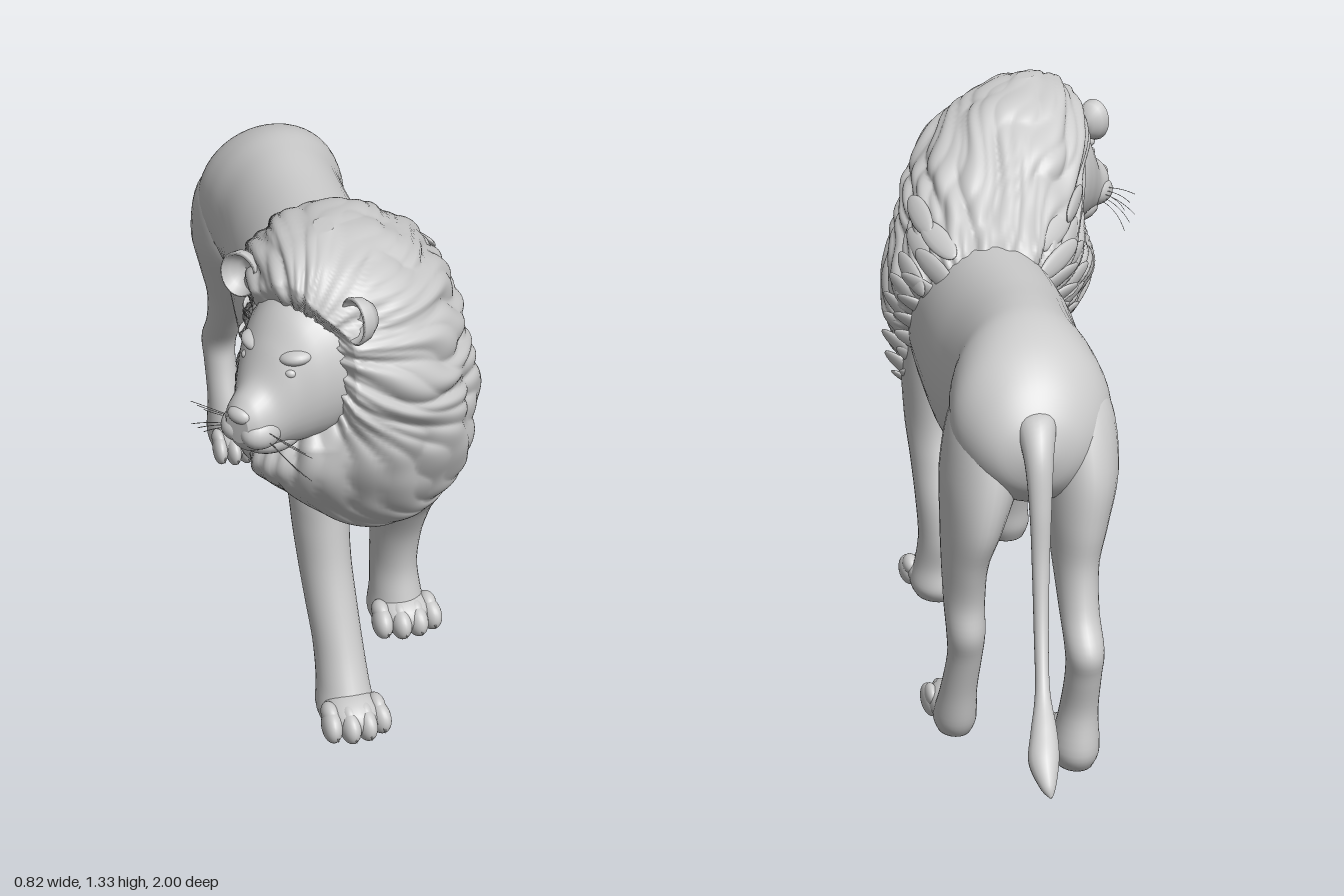
import * as THREE from 'three';

const material = new THREE.MeshStandardMaterial({ color: 0xcccccc });
const thin = new THREE.MeshStandardMaterial({ color: 0xcccccc, side: THREE.DoubleSide });
const Y = new THREE.Vector3(0, 1, 0), Z = new THREE.Vector3(0, 0, 1);

function add(parent, name, geometry, mat = material) {
  const mesh = new THREE.Mesh(geometry, mat);
  mesh.name = name;
  parent.add(mesh);
  return mesh;
}

function ball(parent, name, pos, size) {
  const mesh = add(parent, name, new THREE.SphereGeometry(1, 24, 16));
  mesh.position.set(...pos);
  mesh.scale.set(...size);
  return mesh;
}

// Smooth interpolation through rows of numbers, t from 0 to 1
function sample(rows, t) {
  const f = t * (rows.length - 1), i = Math.min(Math.floor(f), rows.length - 2), u = f - i;
  const at = (k) => rows[Math.max(0, Math.min(rows.length - 1, k))];
  return rows[0].map((_, j) => {
    const [a, b, c, d] = [at(i - 1)[j], at(i)[j], at(i + 1)[j], at(i + 2)[j]];
    return b + 0.5 * u * (c - a + u * (2 * a - 5 * b + 4 * c - d + u * (3 * (b - c) + d - a)));
  });
}

// Point on a loft: rows are [x, y, z, half width along x, half width along the second axis]
function loftPoint(rows, axis, t, angle, power, deform, grow = 1) {
  const [x, y, z, a, b] = sample(rows, t);
  const c = Math.cos(angle), s = Math.sin(angle);
  const p = new THREE.Vector3(x, y, z);
  p.x += grow * Math.max(a, 0.002) * Math.sign(c) * Math.abs(c) ** power;
  p.addScaledVector(axis, grow * Math.max(b, 0.002) * Math.sign(s) * Math.abs(s) ** power);
  if (deform) deform(p, c, s, grow * Math.sin(Math.PI * t) ** 0.5);
  return p;
}

// Closed skin through cross-sections, faces turned outward by signed volume
function loft(rows, axis, { around = 32, along = 48, power = 1, deform } = {}) {
  const pts = [], index = [];
  for (let i = -1; i <= along + 1; i++) {
    const t = Math.max(0, Math.min(1, i / along)), grow = i < 0 || i > along ? 0.01 : 1;
    for (let j = 0; j < around; j++)
      pts.push(loftPoint(rows, axis, t, (j / around) * Math.PI * 2, power, deform, grow));
  }
  for (let i = 0; i < along + 2; i++) {
    for (let j = 0; j < around; j++) {
      const a = i * around + j, b = i * around + ((j + 1) % around);
      index.push(a, b, a + around, b, b + around, a + around);
    }
  }
  let volume = 0;
  const n = new THREE.Vector3();
  for (let k = 0; k < index.length; k += 3)
    volume += pts[index[k]].dot(n.crossVectors(pts[index[k + 1]], pts[index[k + 2]]));
  if (volume < 0) index.reverse();
  const geometry = new THREE.BufferGeometry().setFromPoints(pts);
  geometry.setIndex(index);
  geometry.computeVertexNormals();
  return geometry;
}

// Instep, four toes and claws; the leg itself forms the heel
function paw(parent, name, x, floor, z, half) {
  const group = new THREE.Group();
  group.name = name;
  group.position.set(x, floor, z);
  parent.add(group);
  ball(group, 'instep', [0, 0.05, 0.012], [half * 0.86, 0.05, 0.078]);
  for (let i = 0; i < 4; i++) {
    const k = (i - 1.5) / 1.5, tx = k * half * 0.72, tz = 0.068 - 0.025 * Math.abs(k);
    ball(group, 'toe', [tx, 0.043, tz], [half * 0.31, 0.04, 0.046]).rotation.y = k * 0.15;
    ball(group, 'knuckle', [tx, 0.066, tz - 0.016], [half * 0.25, 0.026, 0.034]);
    const claw = add(group, 'claw', new THREE.ConeGeometry(0.007, 0.028, 8));
    claw.position.set(tx, 0.036, tz + 0.041);
    claw.rotation.x = 2.6;
  }
}

// Head turned toward the model's right
const turn = -Math.PI / 3;
const headPos = new THREE.Vector3(-0.165, 1.05, 0.77);
const facing = new THREE.Vector3(Math.sin(turn), 0, Math.cos(turn));

// Hair streams from the face to a point hidden inside the torso
const hairEnd = new THREE.Vector3(0.11, 0.8, 0.18);
const hairAxis = new THREE.Vector3(-0.165, 1.08, 0.77).sub(hairEnd).normalize();
const hairSide = new THREE.Vector3().crossVectors(Y, hairAxis).normalize();
const hairUp = new THREE.Vector3().crossVectors(hairAxis, hairSide);

const maneRows = [
  [-0.1, 1.325, 0.7, 0.02, 0.03], [-0.085, 1.29, 0.68, 0.12, 0.16], [-0.043, 1.2, 0.65, 0.21, 0.26],
  [0.005, 1.1, 0.605, 0.23, 0.33], [0.035, 1.0, 0.552, 0.238, 0.39], [0.043, 0.9, 0.552, 0.262, 0.362],
  [0.043, 0.8, 0.585, 0.268, 0.3], [0.058, 0.7, 0.6, 0.24, 0.235], [0.085, 0.6, 0.595, 0.182, 0.17],
  [0.1, 0.53, 0.6, 0.1, 0.1], [0.1, 0.505, 0.61, 0.03, 0.03],
];

// Mane rule: skewed ovals, beard under the chin, flat front round the face, flowing locks
function maneRule(p, c, s, fade) {
  p.x -= 0.07 * s * fade;
  const front = Math.max(0, facing.x * c + facing.z * s);
  const beard = Math.exp(-(((p.y - 0.81) / 0.1) ** 2));
  p.addScaledVector(facing, 0.06 * beard * front ** 4);
  const ahead = p.clone().sub(headPos).dot(facing);
  const limit = 0.03 + 0.045 * THREE.MathUtils.smoothstep(p.y, 1.14, 1.24);
  if (ahead > limit && p.y > 0.88) p.addScaledVector(facing, (limit - ahead) * Math.min(1, (p.y - 0.88) / 0.06));
  const rel = p.clone().sub(hairEnd), r = rel.dot(hairAxis);
  const phi = Math.atan2(rel.dot(hairUp), rel.dot(hairSide));
  const wide = Math.abs(Math.sin(8 * phi + 1.1 * Math.sin(10 * r + 3 * phi) + 0.5 * Math.sin(23 * r + 7 * phi)));
  const fine = Math.abs(Math.sin(19 * phi + 1.6 * Math.sin(14 * r + 5 * phi) + 1));
  const bump = fade * (0.018 * wide + 0.008 * fine - 0.016);
  p.x += bump * c;
  p.z += bump * s;
  p.y += bump * 0.4;
}

function buildHead(root) {
  const head = new THREE.Group();
  head.name = 'head';
  head.position.copy(headPos);
  head.rotation.y = turn;
  root.add(head);
  add(head, 'skull', loft([
    [0, 0.02, -0.12, 0.12, 0.16], [0, 0, 0, 0.145, 0.175], [0, -0.014, 0.07, 0.122, 0.158],
    [0, -0.04, 0.12, 0.09, 0.122], [0, -0.072, 0.16, 0.065, 0.084], [0, -0.08, 0.2, 0.05, 0.062],
    [0, -0.077, 0.22, 0.03, 0.038],
  ], Y));
  ball(head, 'nose', [0, -0.052, 0.212], [0.03, 0.019, 0.018]);
  ball(head, 'jaw', [0, -0.135, 0.105], [0.062, 0.042, 0.085]);
  for (const m of [-1, 1]) {
    ball(head, 'muzzlePad', [m * 0.027, -0.096, 0.172], [0.041, 0.04, 0.053]);
    ball(head, 'eye', [m * 0.06, 0.033, 0.117], [0.015, 0.011, 0.013]);
    ball(head, 'brow', [m * 0.05, 0.06, 0.09], [0.042, 0.02, 0.038]).rotation.z = m * 0.2;

    // Cupped ears
    const cup = [[0.001, -0.03], [0.03, -0.025], [0.046, -0.005], [0.052, 0.02], [0.046, 0.024], [0.036, 0.004], [0.02, -0.01], [0.001, -0.014]];
    const ear = add(head, 'ear', new THREE.LatheGeometry(cup.map((q) => new THREE.Vector2(...q)), 28), thin);
    ear.position.set(m * 0.166, 0.157, 0.012);
    ear.rotation.set(Math.PI / 2, 0, m * 0.25);
    ear.scale.set(0.86, 1, 1.05);

    // Whiskers
    for (let i = 0; i < 6; i++) {
      const start = new THREE.Vector3(m * 0.055, -0.085 - 0.007 * i, 0.185 - 0.008 * (i % 3));
      const mid = start.clone().add(new THREE.Vector3(m * 0.05, 0.006 - 0.005 * i, 0.012));
      const end = start.clone().add(new THREE.Vector3(m * 0.1, -0.012 * i, 0.01 - 0.012 * (i % 3)));
      add(head, 'whisker', new THREE.TubeGeometry(new THREE.QuadraticBezierCurve3(start, mid, end), 6, 0.0009, 4));
    }
  }
}

export function createModel() {
  const root = new THREE.Group();
  root.name = 'lion';

  // Torso from chest to rump
  add(root, 'body', loft([
    [0.08, 0.74, 0.68, 0.07, 0.11], [0.09, 0.765, 0.58, 0.16, 0.21], [0.1, 0.775, 0.4, 0.185, 0.25],
    [0.11, 0.77, 0.2, 0.192, 0.26], [0.117, 0.768, 0.05, 0.193, 0.265], [0.13, 0.785, -0.1, 0.18, 0.255],
    [0.145, 0.825, -0.25, 0.17, 0.225], [0.16, 0.84, -0.36, 0.183, 0.208], [0.17, 0.83, -0.46, 0.188, 0.187],
    [0.178, 0.81, -0.54, 0.155, 0.15], [0.187, 0.8, -0.595, 0.1, 0.09], [0.19, 0.8, -0.62, 0.03, 0.03],
  ], Y, { around: 48, along: 60 }));

  // Legs, from the top down to the rounded heel
  const legs = {
    leftFrontLeg: [[0.2, 0.8, 0.45, 0.08, 0.13], [0.215, 0.65, 0.46, 0.075, 0.125], [0.22, 0.5, 0.455, 0.066, 0.115],
      [0.22, 0.4, 0.41, 0.062, 0.093], [0.22, 0.3, 0.368, 0.059, 0.083], [0.22, 0.2, 0.354, 0.056, 0.077],
      [0.222, 0.12, 0.366, 0.062, 0.078], [0.225, 0.06, 0.372, 0.071, 0.09], [0.225, 0.027, 0.375, 0.058, 0.075]],
    rightFrontLeg: [[0, 0.78, 0.5, 0.07, 0.12], [-0.04, 0.6, 0.53, 0.07, 0.105], [-0.047, 0.5, 0.555, 0.066, 0.09],
      [-0.045, 0.4, 0.58, 0.062, 0.08], [-0.04, 0.3, 0.615, 0.06, 0.074], [-0.035, 0.2, 0.655, 0.058, 0.072],
      [-0.035, 0.12, 0.69, 0.061, 0.077], [-0.037, 0.06, 0.715, 0.067, 0.088], [-0.037, 0.022, 0.72, 0.055, 0.072]],
    leftHindLeg: [[0.24, 0.94, -0.42, 0.05, 0.06], [0.262, 0.86, -0.425, 0.088, 0.115], [0.285, 0.72, -0.425, 0.09, 0.16],
      [0.31, 0.6, -0.44, 0.07, 0.152], [0.33, 0.5, -0.452, 0.053, 0.105], [0.335, 0.4, -0.46, 0.048, 0.068],
      [0.335, 0.32, -0.475, 0.045, 0.058], [0.335, 0.25, -0.458, 0.041, 0.05], [0.342, 0.15, -0.422, 0.043, 0.053],
      [0.345, 0.06, -0.385, 0.051, 0.068], [0.345, 0.022, -0.375, 0.04, 0.055]],
    rightHindLeg: [[0.1, 0.94, -0.43, 0.05, 0.06], [0.068, 0.86, -0.44, 0.085, 0.115], [0.062, 0.72, -0.465, 0.088, 0.145],
      [0.075, 0.6, -0.5, 0.07, 0.12], [0.086, 0.5, -0.53, 0.053, 0.085], [0.09, 0.4, -0.58, 0.046, 0.062],
      [0.09, 0.32, -0.63, 0.045, 0.06], [0.09, 0.25, -0.62, 0.042, 0.053], [0.093, 0.15, -0.592, 0.045, 0.056],
      [0.1, 0.05, -0.585, 0.056, 0.074], [0.1, 0.004, -0.575, 0.044, 0.06]],
  };
  for (const [name, rows] of Object.entries(legs)) add(root, name, loft(rows, Z));
  paw(root, 'leftFrontPaw', 0.225, 0.025, 0.395, 0.085);
  paw(root, 'rightFrontPaw', -0.038, 0.02, 0.745, 0.08);
  paw(root, 'leftHindPaw', 0.345, 0.02, -0.345, 0.06);
  paw(root, 'rightHindPaw', 0.1, 0.0, -0.55, 0.066);

  // Tail with its tuft
  add(root, 'tail', loft([
    [0.185, 0.86, -0.5, 0.04, 0.04], [0.19, 0.862, -0.575, 0.046, 0.046], [0.2, 0.8, -0.645, 0.033, 0.034],
    [0.205, 0.69, -0.677, 0.025, 0.026], [0.21, 0.56, -0.697, 0.02, 0.022], [0.22, 0.43, -0.74, 0.017, 0.02],
    [0.235, 0.32, -0.81, 0.017, 0.019], [0.25, 0.255, -0.88, 0.03, 0.028], [0.262, 0.21, -0.93, 0.035, 0.033],
    [0.265, 0.17, -0.98, 0.018, 0.018], [0.263, 0.152, -0.998, 0.003, 0.003],
  ], new THREE.Vector3(0, 0.65, -0.76), { around: 20, along: 60 }));

  // Mane, with flat loose locks along its rear edge
  const power = 0.84;
  add(root, 'mane', loft(maneRows, Z, { around: 192, along: 150, power, deform: maneRule }));
  const basis = new THREE.Matrix4();
  for (const m of [-1, 1]) {
    for (let i = 0; i < 18; i++) {
      const t = 0.33 + 0.032 * i, spread = 0.95 - 0.3 * (i % 2) - 0.012 * i;
      const at = (tt, w) => loftPoint(maneRows, Z, tt, -Math.PI / 2 + m * w, power, maneRule);
      const mid = at(t, spread);
      const flow = at(t + 0.03, spread - 0.2).sub(at(t - 0.01, spread + 0.2)).normalize();
      const across = at(t + 0.05, spread).sub(at(t - 0.05, spread));
      const out = across.cross(flow).normalize();
      const lock = add(root, 'maneLock', new THREE.SphereGeometry(1, 12, 12));
      lock.quaternion.setFromRotationMatrix(basis.makeBasis(flow.clone().cross(out), flow, out));
      lock.position.copy(mid);
      lock.scale.set(0.03, 0.085, 0.011);
    }
  }

  buildHead(root);
  return root;
}
